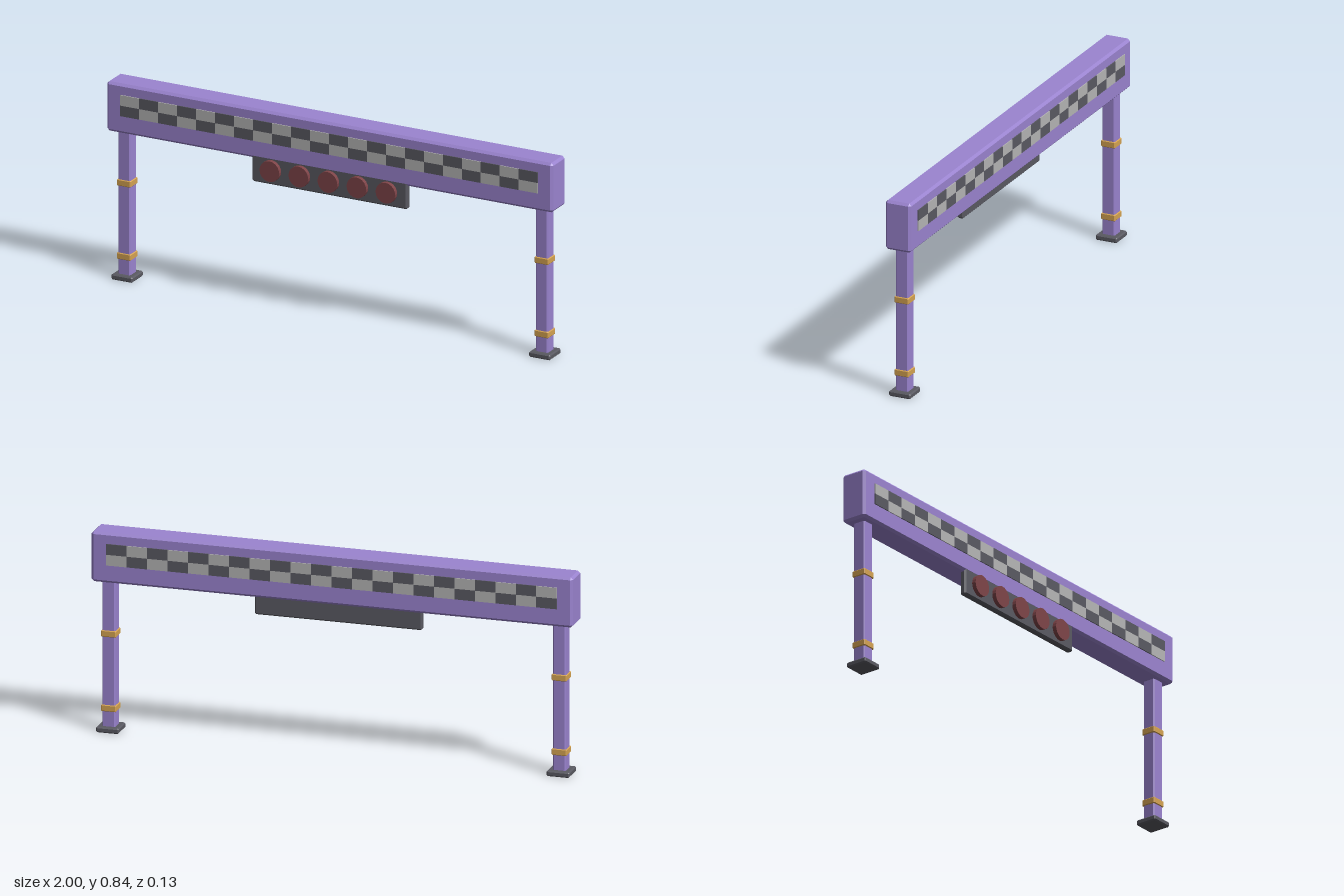
import * as THREE from 'three';
import { ConvexGeometry } from 'three/addons/geometries/ConvexGeometry.js';

const mat = (color) => new THREE.MeshStandardMaterial({ color, flatShading: true });

// Box with flat chamfers along all edges
function chamferBox(w, h, d, b) {
  const pts = [];
  for (const sx of [-1, 1]) for (const sy of [-1, 1]) for (const sz of [-1, 1]) {
    const x = w / 2, y = h / 2, z = d / 2;
    pts.push(
      new THREE.Vector3(sx * x, sy * (y - b), sz * (z - b)),
      new THREE.Vector3(sx * (x - b), sy * y, sz * (z - b)),
      new THREE.Vector3(sx * (x - b), sy * (y - b), sz * z));
  }
  return new ConvexGeometry(pts);
}

export function createModel() {
  const root = new THREE.Group();
  root.name = 'startGantry';
  const purple = mat(0x9b84d0), dark = mat(0x5a5a62), light = mat(0xb5b5b5);
  const gold = mat(0xd6a452), red = mat(0x7e4448);
  const Z = -0.0055;

  const add = (parent, name, geo, material, x, y, z) => {
    const m = new THREE.Mesh(geo, material);
    m.name = name;
    m.position.set(x, y, z);
    parent.add(m);
    return m;
  };

  // Overhead beam
  add(root, 'beam', chamferBox(2, 0.209, 0.113, 0.01), purple, 0, 0.7335, Z);

  // Legs with feet and two bands each
  const legGeo = chamferBox(0.055, 0.64, 0.055, 0.005);
  const footGeo = chamferBox(0.095, 0.023, 0.095, 0.005);
  const bandGeo = chamferBox(0.062, 0.027, 0.062, 0.003);
  for (const [side, s] of [['left', 1], ['right', -1]]) {
    const leg = new THREE.Group();
    leg.name = side + 'Leg';
    leg.position.set(s * 0.936, 0, Z);
    add(leg, 'post', legGeo, purple, 0, 0.33, 0);
    add(leg, 'foot', footGeo, dark, 0, 0.0115, 0);
    for (const y of [0.0985, 0.4085]) add(leg, 'band', bandGeo, gold, 0, y, 0);
    root.add(leg);
  }

  // Checkered strips on both faces of the beam
  const cols = 22, tw = 1.872 / cols, th = 0.0445;
  const tileGeo = new THREE.BoxGeometry(tw, th, 0.01);
  for (const [side, s] of [['front', 1], ['back', -1]]) {
    const strip = new THREE.Group();
    strip.name = side + 'Checkers';
    for (let c = 0; c < cols; c++) for (let r = 0; r < 2; r++) {
      add(strip, 'checker', tileGeo, (c + r) % 2 ? light : dark,
        (c - (cols - 1) / 2) * tw, 0.748 + (r - 0.5) * th, Z + s * 0.0555);
    }
    root.add(strip);
  }

  // Lamp panel with a row of five lamps
  const panel = new THREE.Group();
  panel.name = 'lampPanel';
  panel.position.set(0, 0.591, 0);
  add(panel, 'housing', chamferBox(0.695, 0.122, 0.028, 0.006), dark, 0, 0, 0.0365);
  const lampGeo = new THREE.CylinderGeometry(0.044, 0.044, 0.024, 20).rotateX(Math.PI / 2);
  for (let i = -2; i <= 2; i++) add(panel, 'lamp', lampGeo, red, i * 0.13, 0, 0.056);
  root.add(panel);

  return root;
}
